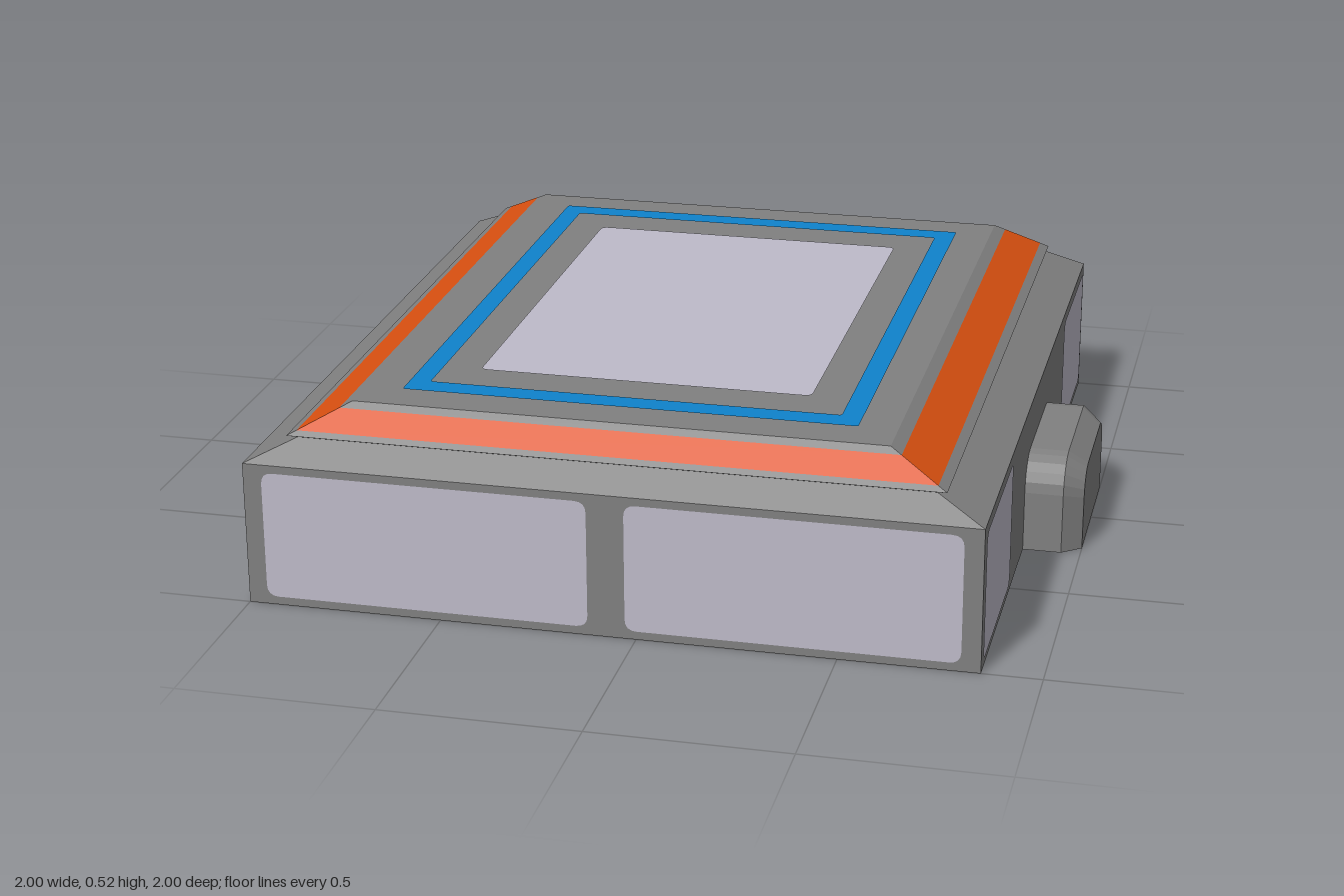
import * as THREE from 'three';

const material = (name, color) => {
  const m = new THREE.MeshStandardMaterial({ color });
  m.name = name;
  return m;
};

// Flat-sided skin through matching rings, counter-clockwise seen from the last ring
function loft(rings, capStart, capEnd) {
  const pos = [];
  const tri = (...pts) => pts.forEach(p => pos.push(...p));
  const n = rings[0].length;
  for (let i = 0; i < rings.length - 1; i++) {
    for (let j = 0; j < n; j++) {
      const k = (j + 1) % n, lo = rings[i], hi = rings[i + 1];
      tri(lo[j], lo[k], hi[k]);
      tri(lo[j], hi[k], hi[j]);
    }
  }
  const first = rings[0], last = rings[rings.length - 1];
  for (let j = 1; j < n - 1; j++) {
    if (capStart) tri(first[0], first[j + 1], first[j]);
    if (capEnd) tri(last[0], last[j], last[j + 1]);
  }
  const geo = new THREE.BufferGeometry();
  geo.setAttribute('position', new THREE.Float32BufferAttribute(pos, 3));
  geo.computeVertexNormals();
  return geo;
}

const CX = -0.075; // centre of the main block
const rect = (hx, hz, y) =>
  [[CX + hx, y, hz], [CX + hx, y, -hz], [CX - hx, y, -hz], [CX - hx, y, hz]];

// Ring on the sloping lid at height y
function lidRing(y) {
  const t = (y - 0.438) / 0.077;
  return rect(0.825 - 0.15 * t, 0.95 - 0.075 * t, y);
}

// Arch outline of the side block, with rounded upper corners
function arch(x, w, h, r) {
  const pts = [[x, 0, -w]];
  for (const side of [-1, 1]) {
    for (let i = 0; i <= 5; i++) {
      const a = (i / 5 + (side > 0 ? 1 : 0)) * Math.PI / 2;
      pts.push([x, h - r + r * Math.sin(a), side * (w - r) - r * Math.cos(a)]);
    }
  }
  pts.push([x, 0, w]);
  return pts;
}

function roundedRect(target, x0, y0, x1, y1, r) {
  target.moveTo(x0 + r, y0);
  target.lineTo(x1 - r, y0);
  target.quadraticCurveTo(x1, y0, x1, y0 + r);
  target.lineTo(x1, y1 - r);
  target.quadraticCurveTo(x1, y1, x1 - r, y1);
  target.lineTo(x0 + r, y1);
  target.quadraticCurveTo(x0, y1, x0, y1 - r);
  target.lineTo(x0, y0 + r);
  target.quadraticCurveTo(x0, y0, x0 + r, y0);
  return target;
}

export function createModel() {
  const grey = material('grey', 0x808080);
  const lilac = material('lilac', 0xbebac9);
  const blue = material('blue', 0x0f82cc);
  const orange = material('orange', 0xda5010);

  const model = new THREE.Group();
  model.name = 'building';
  const add = (name, geo, mat) => {
    const mesh = new THREE.Mesh(geo, mat);
    mesh.name = name;
    model.add(mesh);
    return mesh;
  };

  // Main block with sloping shoulder, groove and lower edge of the lid
  add('body', loft([
    rect(0.925, 1, 0), rect(0.925, 1, 0.375), rect(0.80, 0.937, 0.432),
    lidRing(0.438), lidRing(0.45),
  ], true, false), grey);
  add('orangeBand', loft([lidRing(0.45), lidRing(0.5)], false, false), orange);
  add('roof', loft([lidRing(0.5), lidRing(0.515)], false, true), grey);

  // Block on the left side
  add('sideBlock', loft([
    arch(0.84, 0.25, 0.25, 0.09), arch(0.95, 0.25, 0.25, 0.09), arch(1, 0.21, 0.213, 0.07),
  ], true, true), grey);

  // Roof markings
  const roofPlate = (name, shape, mat) => {
    const mesh = add(name, new THREE.ShapeGeometry(shape, 4), mat);
    mesh.rotation.x = -Math.PI / 2;
    mesh.position.set(CX, 0.518, 0);
  };
  roofPlate('roofPanel', roundedRect(new THREE.Shape(), -0.428, -0.6, 0.428, 0.6, 0.02), lilac);
  const frame = roundedRect(new THREE.Shape(), -0.578, -0.775, 0.578, 0.775, 0.008);
  frame.holes.push(roundedRect(new THREE.Path(), -0.525, -0.71, 0.525, 0.71, 0.008));
  roofPlate('roofFrame', frame, blue);

  // Wall panels: width and centres along each wall
  const wallPanel = (name, width, x, z, turn) => {
    const shape = roundedRect(new THREE.Shape(), -width / 2, 0.022, width / 2, 0.355, 0.03);
    const mesh = add(name, new THREE.ShapeGeometry(shape, 4), lilac);
    mesh.position.set(x, 0, z);
    mesh.rotation.y = turn;
  };
  for (const s of [-1, 1]) {
    wallPanel('frontPanel', 0.83, CX + s * 0.462, 1.002, 0);
    wallPanel('backPanel', 0.83, CX + s * 0.462, -1.002, Math.PI);
    wallPanel('leftPanel', 0.455, 0.852, s * 0.75, Math.PI / 2);
    for (const z of [0.25, 0.75]) {
      wallPanel('rightPanel', 0.455, -1.002, s * z, -Math.PI / 2);
    }
  }
  return model;
}
